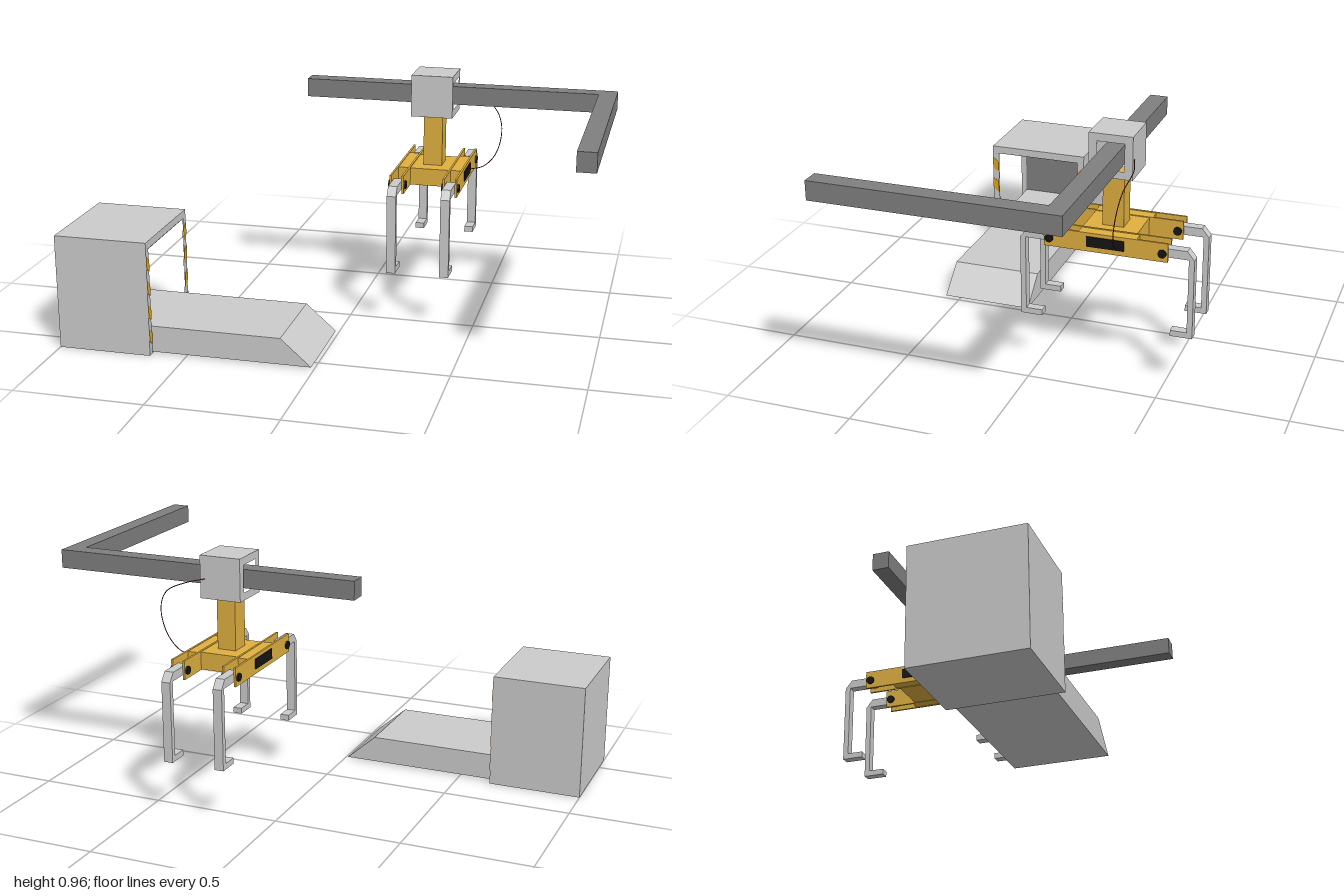
import * as THREE from 'three';

const mat = (color) => new THREE.MeshStandardMaterial({ color });
const grey = mat(0xcccccc);
const darkGrey = mat(0x808080);
const yellow = mat(0xe0b040);
const black = mat(0x151515);
const stripeYellow = mat(0xe0a820);
const cableRed = mat(0x7a2828);

// Centre of the gripper
const CX = 0.283, CZ = -0.273;

function add(parent, name, geometry, material) {
  const mesh = new THREE.Mesh(geometry, material);
  mesh.name = name;
  parent.add(mesh);
  return mesh;
}

// Box given by its limits on each axis
function box(parent, name, material, [x0, x1], [y0, y1], [z0, z1]) {
  const mesh = add(parent, name, new THREE.BoxGeometry(x1 - x0, y1 - y0, z1 - z0), material);
  mesh.position.set((x0 + x1) / 2, (y0 + y1) / 2, (z0 + z1) / 2);
  return mesh;
}

// Outline of [z, y] points extruded along x from x0 to x1
function alongX(points, x0, x1, hole) {
  const toVec = ([z, y]) => new THREE.Vector2(-z, y);
  const shape = new THREE.Shape(points.map(toVec));
  if (hole) shape.holes.push(new THREE.Path(hole.map(toVec)));
  return new THREE.ExtrudeGeometry(shape, { depth: x1 - x0, bevelEnabled: false })
    .rotateY(Math.PI / 2).translate(x0, 0, 0);
}

const rect = (z0, z1, y0, y1) => [[z0, y0], [z1, y0], [z1, y1], [z0, y1]];

function createStation() {
  const g = new THREE.Group();
  g.name = 'conveyorStation';

  // Housing open towards +x, with a dark lining
  const inner = rect(0.192, 0.564, 0.005, 0.42);
  add(g, 'housing', alongX(rect(0.163, 0.59, 0, 0.45), -0.985, -0.635, inner), grey);
  box(g, 'housingBack', grey, [-1, -0.985], [0, 0.45], [0.163, 0.59]);
  add(g, 'lining', alongX(inner, -0.98, -0.637, rect(0.195, 0.561, 0.008, 0.417)), darkGrey);
  box(g, 'liningBack', darkGrey, [-0.985, -0.978], [0.005, 0.42], [0.192, 0.564]);

  // Conveyor bed with a sloped end
  const profile = [[-0.978, 0.006], [-0.012, 0.006], [-0.13, 0.11], [-0.978, 0.11]];
  const bed = new THREE.Shape(profile.map(([x, y]) => new THREE.Vector2(x, y)));
  add(g, 'conveyorBed', new THREE.ExtrudeGeometry(bed, { depth: 0.366, bevelEnabled: false })
    .translate(0, 0, 0.195), grey);

  // Slanted warning stripes on both door jambs
  for (const [outer, innerZ] of [[0.59, 0.564], [0.163, 0.192]]) {
    for (let i = 0; i < 4; i++) {
      const y = 0.073 + i * 0.0967;
      const pts = [[outer, y - 0.015], [innerZ, y - 0.033], [innerZ, y + 0.015], [outer, y + 0.033]];
      add(g, 'warningStripe', alongX(pts, -0.635, -0.633), stripeYellow);
    }
  }
  return g;
}

function createGantry() {
  const g = new THREE.Group();
  g.name = 'gantry';
  const y = [0.838, 0.911];
  box(g, 'longRail', darkGrey, [-0.24, 0.93], y, [-0.315, -0.245]);
  box(g, 'crossRail', darkGrey, [0.93, 1], y, [-0.315, 0.608]);

  // Square sleeve that rides on the rail
  add(g, 'trolley', alongX(rect(-0.358, -0.191, 0.793, 0.96), CX - 0.083, CX + 0.083,
    rect(-0.327, -0.222, 0.823, 0.93)), grey);
  return g;
}

function createLeg() {
  // Hooked leg with chamfered shoulder and inward foot
  return alongX([
    [-0.075, 0.566], [0.034, 0.566], [0.061, 0.532], [0.061, 0.216], [-0.023, 0.216],
    [-0.023, 0.239], [0.04, 0.239], [0.04, 0.532], [-0.075, 0.532],
  ].map(([z, y]) => [z - CZ, y]), -0.018, 0.018);
}

function createGripper() {
  const g = new THREE.Group();
  g.name = 'gripper';
  box(g, 'post', yellow, [CX - 0.038, CX + 0.038], [0.585, 0.794], [CZ - 0.041, CZ + 0.041]);
  box(g, 'centreBody', yellow, [CX - 0.083, CX + 0.083], [0.517, 0.586], [CZ - 0.105, CZ + 0.105]);

  const legGeometry = createLeg();
  const pinGeometry = new THREE.CylinderGeometry(0.016, 0.016, 0.07, 20).rotateZ(Math.PI / 2);
  for (const side of [-1, 1]) {
    const channelX = CX + side * 0.106;

    // Channel made of two plates around a filled middle
    for (const offset of [-0.024, 0.024]) {
      const x = channelX + offset;
      box(g, 'channelPlate', yellow, [x - 0.004, x + 0.004], [0.515, 0.589], [CZ - 0.237, CZ + 0.237]);
    }
    box(g, 'channelCore', yellow, [channelX - 0.02, channelX + 0.02], [0.517, 0.587],
      [CZ - 0.118, CZ + 0.105]);

    // Dark plate on the outer face
    const plateX = CX + side * 0.135;
    box(g, 'sidePlate', black, [plateX - 0.003, plateX + 0.003], [0.535, 0.575], [CZ - 0.072, CZ + 0.072]);

    // Legs and their pivot pins at both ends
    for (const end of [0, Math.PI]) {
      const leg = add(g, 'leg', legGeometry, grey);
      leg.position.set(channelX, 0, CZ);
      leg.rotation.y = end;
      add(g, 'pivotPin', pinGeometry, black)
        .position.set(channelX, 0.548, CZ + Math.cos(end) * 0.216);
    }
  }
  return g;
}

function createCable() {
  const path = new THREE.CatmullRomCurve3([
    [0.345, 0.87, -0.357], [0.42, 0.852, -0.378], [0.51, 0.805, -0.365], [0.542, 0.73, -0.352],
    [0.525, 0.625, -0.336], [0.475, 0.567, -0.332], [0.415, 0.55, -0.33],
  ].map((p) => new THREE.Vector3(...p)));
  return new THREE.TubeGeometry(path, 40, 0.0018, 6);
}

export function createModel() {
  const model = new THREE.Group();
  model.name = 'gantryGripperAndConveyor';
  model.add(createStation(), createGantry(), createGripper());
  add(model, 'cable', createCable(), cableRed);
  return model;
}
